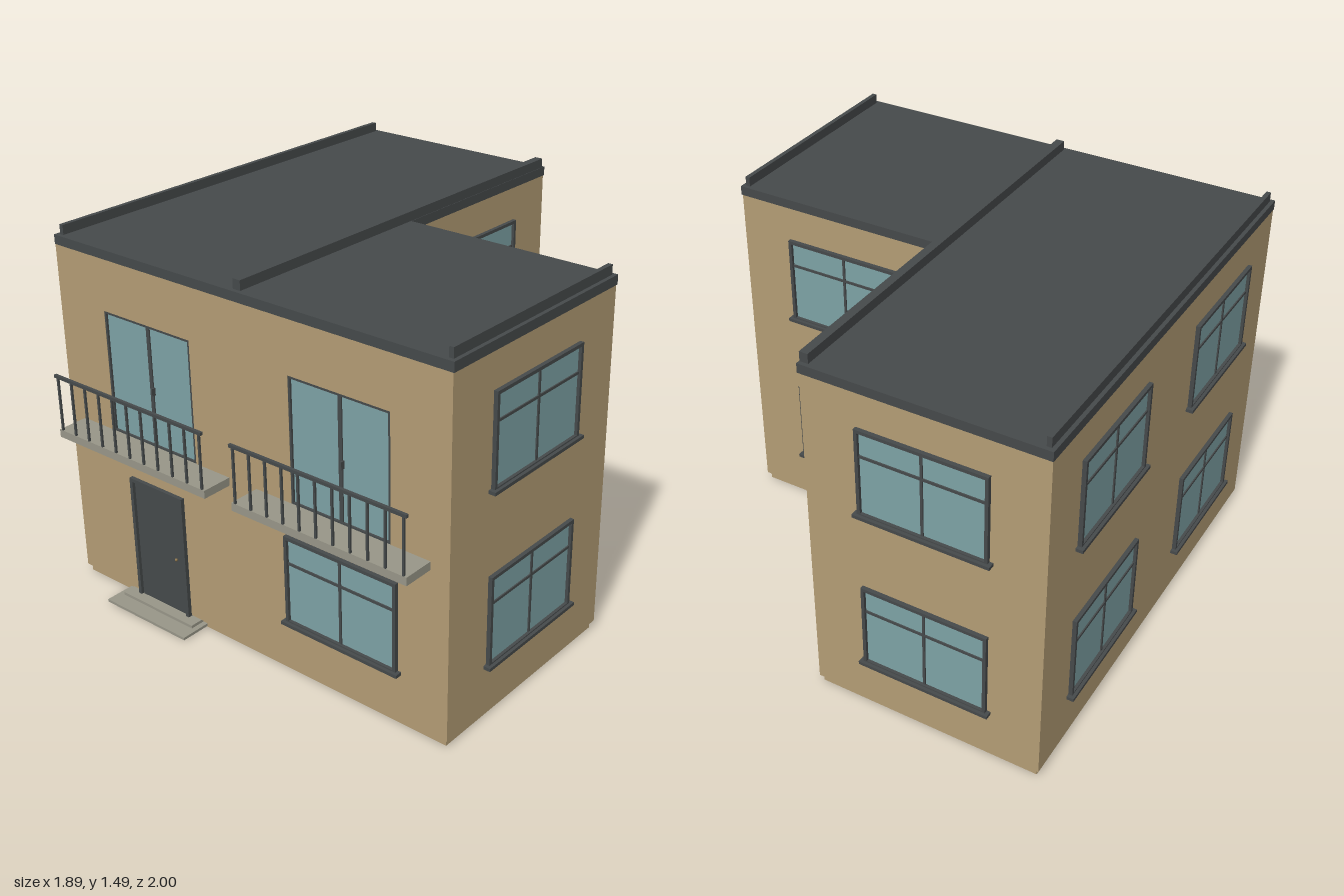
import * as THREE from 'three';

const mat = (name, color) => {
  const m = new THREE.MeshStandardMaterial({ color });
  m.name = name;
  return m;
};

export function createModel() {
  const wall = mat('tan wall', 0xb49d75);
  const dark = mat('dark trim', 0x464a4b);
  const glass = mat('glass', 0x7ea3a6);
  const stone = mat('grey stone', 0x999789);
  const brass = mat('brass', 0x8a7248);
  const house = new THREE.Group();
  house.name = 'house';

  const add = (parent, name, geo, material) => {
    const m = new THREE.Mesh(geo, material);
    m.name = name;
    parent.add(m);
    return m;
  };
  // Box given by its minimum and maximum corners
  const box = (parent, name, material, x0, x1, y0, y1, z0, z1) => {
    const m = add(parent, name, new THREE.BoxGeometry(x1 - x0, y1 - y0, z1 - z0), material);
    m.position.set((x0 + x1) / 2, (y0 + y1) / 2, (z0 + z1) / 2);
    return m;
  };
  // L-shaped storey: long left wing and short right wing
  const lBlock = (name, material, side, inner, back, wingBack, front, y0, y1) => {
    const pts = [[-side, front], [side, front], [side, wingBack], [inner, wingBack], [inner, back], [-side, back]];
    const shape = new THREE.Shape(pts.map(([x, z]) => new THREE.Vector2(x, -z)));
    const geo = new THREE.ExtrudeGeometry(shape, { depth: y1 - y0, bevelEnabled: false });
    geo.rotateX(-Math.PI / 2);
    geo.translate(0, y0, 0);
    add(house, name, geo, material);
  };

  // Walls, inset base and roof
  lBlock('base', wall, 0.905, 0.002, -0.958, -0.055, 0.86, 0, 0.03);
  lBlock('walls', wall, 0.917, 0.013, -0.97, -0.066, 0.86, 0.03, 1.41);
  lBlock('roof', dark, 0.92, 0.016, -0.974, -0.07, 0.872, 1.41, 1.447);

  // Raised roof ridges
  box(house, 'leftParapet', dark, -0.905, -0.887, 1.447, 1.485, -0.958, 0.855);
  box(house, 'middleParapet', dark, -0.02, 0.014, 1.447, 1.485, -0.958, 0.855);
  box(house, 'rightParapet', dark, 0.887, 0.905, 1.447, 1.485, -0.055, 0.855);

  // Front facing with openings for the balcony doors
  const FRONT = 0.872;
  const rect = (P, x0, x1, y0, y1) => {
    const p = new P();
    p.moveTo(x0, y0).lineTo(x1, y0).lineTo(x1, y1).lineTo(x0, y1).closePath();
    return p;
  };
  const balconies = [-0.455, 0.452];
  const facing = rect(THREE.Shape, -0.917, 0.917, 0.03, 1.41);
  for (const x of balconies) facing.holes.push(rect(THREE.Path, x - 0.22, x + 0.22, 0.715, 1.205));
  const facingGeo = new THREE.ExtrudeGeometry(facing, { depth: FRONT - 0.86, bevelEnabled: false });
  facingGeo.translate(0, 0, 0.86);
  add(house, 'frontWall', facingGeo, wall);

  // Rectangular frame of four bars
  const frame = (parent, x0, x1, y0, y1, t, z0, z1) => {
    box(parent, 'frameLeft', dark, x0, x0 + t, y0, y1, z0, z1);
    box(parent, 'frameRight', dark, x1 - t, x1, y0, y1, z0, z1);
    box(parent, 'frameTop', dark, x0 + t, x1 - t, y1 - t, y1, z0, z1);
    box(parent, 'frameBottom', dark, x0 + t, x1 - t, y0, y0 + t, z0, z1);
  };

  // Window facing +z with its bottom centre at the origin
  const addWindow = (x, y, z, turn) => {
    const g = new THREE.Group();
    g.name = 'window';
    box(g, 'pane', glass, -0.245, 0.245, 0.005, 0.355, 0, 0.004);
    frame(g, -0.252, 0.252, 0, 0.362, 0.013, 0, 0.016);
    box(g, 'mullion', dark, -0.005, 0.005, 0.013, 0.349, 0, 0.009);
    box(g, 'transom', dark, -0.239, 0.239, 0.245, 0.255, 0, 0.009);
    box(g, 'sill', dark, -0.266, 0.266, -0.005, 0.008, 0, 0.028);
    g.position.set(x, y, z);
    g.rotation.y = turn;
    house.add(g);
  };
  const H = Math.PI / 2;
  for (const y of [0.22, 0.91]) {
    addWindow(0.917, y, 0.402, H);
    addWindow(0.013, y, -0.505, H);
    addWindow(-0.917, y, 0.402, -H);
    addWindow(-0.917, y, -0.505, -H);
    addWindow(-0.455, y, -0.97, Math.PI);
    addWindow(0.447, y, -0.066, Math.PI);
  }
  addWindow(0.452, 0.22, FRONT, 0);

  // Balconies with glazed doors
  for (const x of balconies) {
    const g = new THREE.Group();
    g.name = 'balcony';
    g.position.x = x;
    house.add(g);
    box(g, 'doorGlass', glass, -0.218, 0.218, 0.715, 1.203, 0.859, 0.863);
    frame(g, -0.22, 0.22, 0.715, 1.205, 0.009, 0.86, 0.871);
    box(g, 'doorMullion', dark, -0.004, 0.012, 0.724, 1.196, 0.86, 0.868);
    box(g, 'doorHandle', dark, 0.012, 0.018, 0.93, 0.96, 0.86, 0.88);
    box(g, 'slab', stone, -0.387, 0.387, 0.685, 0.717, 0.868, 0.998);
    box(g, 'handrail', dark, -0.387, 0.387, 0.934, 0.946, 0.988, 1);
    for (let i = 0; i < 11; i++) {
      const bx = -0.372 + i * 0.0744;
      box(g, 'baluster', dark, bx - 0.004, bx + 0.004, 0.717, 0.934, 0.99, 0.998);
    }
  }

  // Front door and steps
  const door = new THREE.Group();
  door.name = 'frontDoor';
  house.add(door);
  box(door, 'leaf', dark, -0.577, -0.333, 0.026, 0.525, 0.868, 0.878);
  box(door, 'leftJamb', dark, -0.595, -0.58, 0.026, 0.545, 0.868, 0.888);
  box(door, 'rightJamb', dark, -0.33, -0.315, 0.026, 0.545, 0.868, 0.888);
  box(door, 'lintel', dark, -0.58, -0.33, 0.531, 0.545, 0.868, 0.888);
  const knob = add(door, 'knob', new THREE.SphereGeometry(0.006, 12, 8), brass);
  knob.position.set(-0.37, 0.262, 0.882);
  box(house, 'lowerStep', stone, -0.67, -0.243, 0.004, 0.015, 0.855, 0.985);
  box(house, 'upperStep', stone, -0.645, -0.265, 0.015, 0.027, 0.855, 0.922);

  return house;
}
